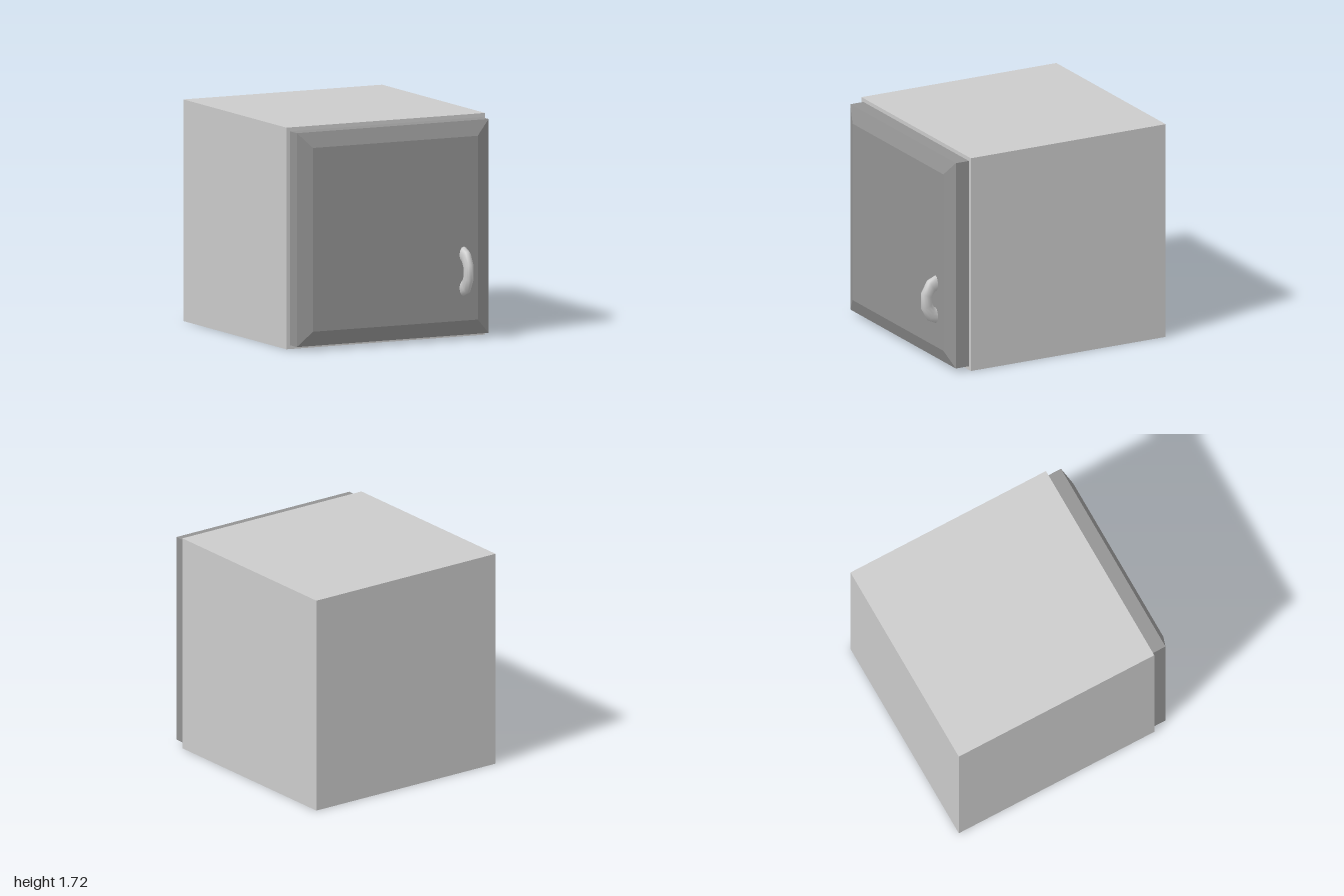
import * as THREE from 'three';

const grey = new THREE.MeshStandardMaterial({ color: 0xcccccc });
const doorGrey = new THREE.MeshStandardMaterial({ color: 0x939393, flatShading: true });

function addPart(group, name, geometry, material, x, y, z) {
  const mesh = new THREE.Mesh(geometry, material);
  mesh.name = name;
  mesh.position.set(x, y, z);
  group.add(mesh);
}

// Slab with a straight edge and a chamfered front; its back lies at z = 0
function chamferedSlab(half, halfFront, edgeDepth, fullDepth) {
  const box = new THREE.BoxGeometry(half * 2, half * 2, 2, 1, 1, 2);
  const pos = box.attributes.position;
  const depths = [0, edgeDepth, fullDepth];
  for (let i = 0; i < pos.count; i++) {
    const layer = Math.round(pos.getZ(i)) + 1;
    const s = layer === 2 ? halfFront / half : 1;
    pos.setXYZ(i, pos.getX(i) * s, pos.getY(i) * s, depths[layer]);
  }
  const slab = box.toNonIndexed();
  slab.computeVertexNormals();
  return slab;
}

export function createModel() {
  const group = new THREE.Group();
  group.name = 'cabinet';

  // Plain cabinet box
  addPart(group, 'cabinetBody', new THREE.BoxGeometry(1.72, 1.72, 1.715), grey, 0, 0.86, -0.1425);

  // Door with a chamfered front
  addPart(group, 'door', chamferedSlab(0.83, 0.713, 0.115, 0.16), doorGrey, 0, 0.86, 0.715);

  // Flattened ring handle, half sunk into the door
  const ring = new THREE.TorusGeometry(0.138, 0.0625, 12, 10);
  ring.rotateZ(Math.PI / 2);
  ring.rotateY(Math.PI / 2);
  ring.scale(0.6, 1, 0.76);
  addPart(group, 'handle', ring, grey, 0.592, 0.53, 0.855);

  return group;
}
